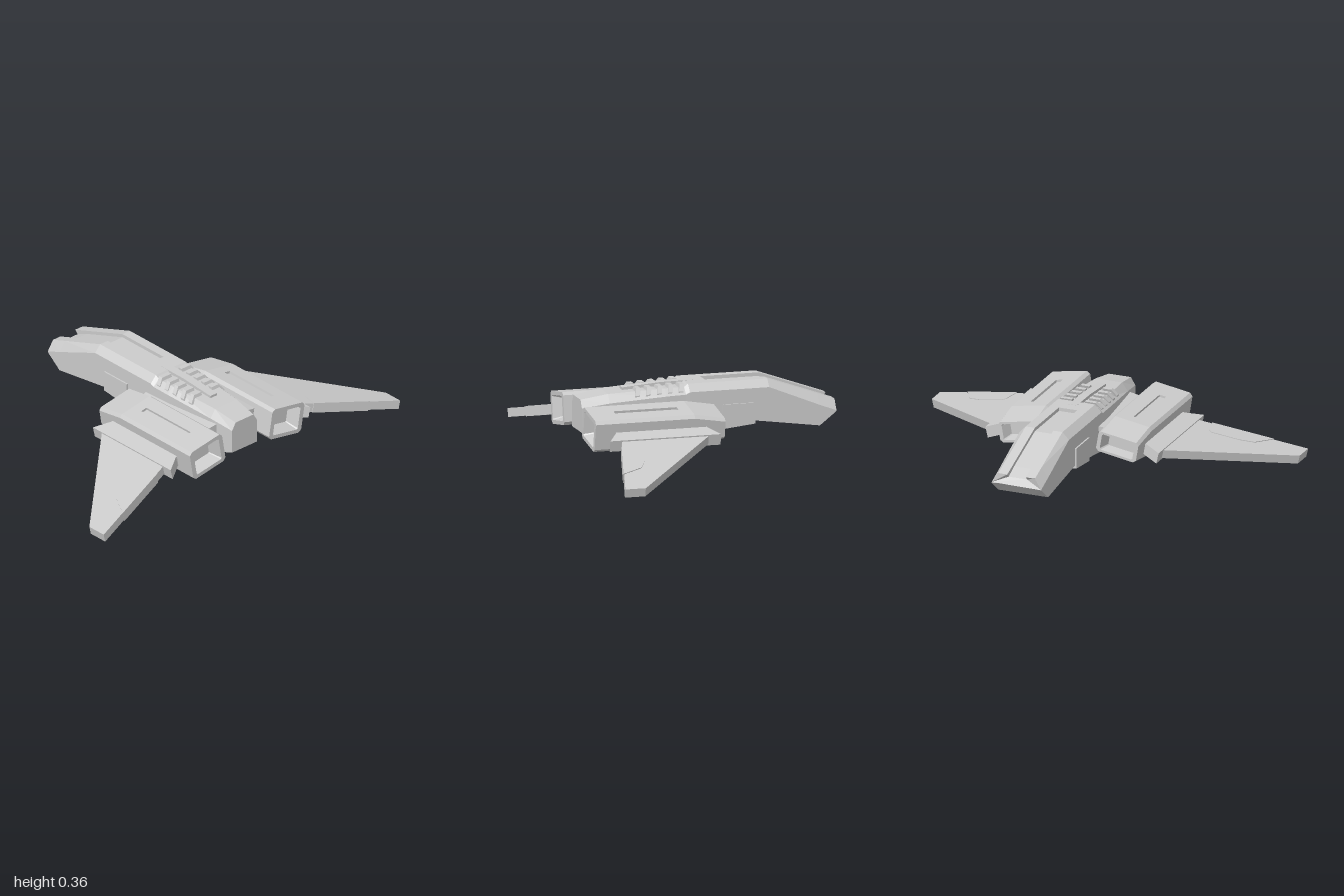
import * as THREE from 'three';

const grey = new THREE.MeshStandardMaterial({ color: 0xcccccc, flatShading: true });

function add(parent, name, geometry) {
  const mesh = new THREE.Mesh(geometry, grey);
  mesh.name = name;
  parent.add(mesh);
  return mesh;
}

// Skin a list of equal-length rings (counter-clockwise seen from +z) and cap both ends
function loft(rings) {
  const pos = [];
  const tri = (...pts) => pts.forEach((p) => pos.push(...p));
  const n = rings[0].length;
  for (let r = 0; r < rings.length - 1; r++) {
    const a = rings[r], b = rings[r + 1];
    for (let i = 0; i < n; i++) {
      const j = (i + 1) % n;
      tri(a[i], a[j], b[j]);
      tri(a[i], b[j], b[i]);
    }
  }
  const cap = (ring, flip) => {
    const flat = ring.map((p) => new THREE.Vector2(p[0], p[1]));
    for (const [a, b, c] of THREE.ShapeUtils.triangulateShape(flat, [])) {
      if (flip) tri(ring[a], ring[c], ring[b]);
      else tri(ring[a], ring[b], ring[c]);
    }
  };
  cap(rings[0], true);
  cap(rings[rings.length - 1], false);
  const g = new THREE.BufferGeometry();
  g.setAttribute('position', new THREE.Float32BufferAttribute(pos, 3));
  g.computeVertexNormals();
  return g;
}

// Flat plate from an outline in x and z, centred on y = 0
function plate(points, thickness) {
  const shape = new THREE.Shape(points.map((p) => new THREE.Vector2(...p)));
  return new THREE.ExtrudeGeometry(shape, { depth: thickness, bevelEnabled: false })
    .translate(0, 0, -thickness / 2)
    .rotateX(Math.PI / 2);
}

// Hull section: half widths w (side) and t (top), heights, depth of top groove, setback of its middle
function hullRing([z, w, t, top, shoulder, bottom, depth, setback = 0]) {
  const g = Math.min(0.05, t * 0.8), zm = z + setback;
  return [
    [w, bottom, z], [w, shoulder, z], [t, top, z], [g, top, z],
    [g, top - depth, zm], [-g, top - depth, zm],
    [-g, top, z], [-t, top, z], [-w, shoulder, z], [-w, bottom, z],
    [-g, bottom, zm], [g, bottom, zm],
  ];
}

// Engine section: chamfered rectangle with an optional slot in its top
function engineRing([z, w, h, c, slot = 0]) {
  const s = 0.018;
  return [
    [w - c, -h, z], [w, -h + c, z], [w, h - c, z], [w - c, h, z],
    [s, h, z], [s, h - slot, z], [-s, h - slot, z], [-s, h, z],
    [-w + c, h, z], [-w, h - c, z], [-w, -h + c, z], [-w + c, -h, z],
  ];
}

export function createModel() {
  const model = new THREE.Group();
  model.name = 'spacecraft';

  // Fuselage with a grooved, forked nose and a tapering tail
  add(model, 'fuselage', loft([
    [-0.687, 0.135, 0.1, 0.235, 0.182, 0.178, 0.018, 0.018],
    [-0.6, 0.135, 0.1, 0.266, 0.215, 0.11, 0.018],
    [-0.335, 0.135, 0.1, 0.36, 0.323, 0.147, 0.018],
    [-0.26, 0.135, 0.1, 0.36, 0.323, 0.157, 0.018],
    [-0.03, 0.135, 0.1, 0.36, 0.323, 0.13, 0.018],
    [-0.03, 0.135, 0.1, 0.36, 0.323, 0.13, 0],
    [0.08, 0.135, 0.1, 0.36, 0.323, 0.115, 0],
    [0.1, 0.134, 0.099, 0.345, 0.312, 0.112, 0],
    [0.2, 0.13, 0.094, 0.342, 0.308, 0.097, 0],
    [0.49, 0.103, 0.072, 0.328, 0.285, 0.097, 0],
    [0.63, 0.084, 0.06, 0.305, 0.265, 0.14, 0],
  ].map(hullRing)));

  // Raised spine between the vents
  add(model, 'spine', loft([[0.03, 0.361, 0.33], [0.2, 0.36, 0.32], [0.4, 0.345, 0.31]]
    .map(([z, top, low]) => [[0.022, low, z], [0.022, top, z], [-0.022, top, z], [-0.022, low, z]])));

  // Box around the belly
  const belly = [[-0.26, 0.143], [-0.09, 0.125]];
  add(model, 'bellyBox', loft(belly.map(([z, low]) =>
    [[0.143, low, z], [0.143, 0.25, z], [-0.143, 0.25, z], [-0.143, low, z]])));

  for (const side of [1, -1]) {
    const half = new THREE.Group();
    half.name = side > 0 ? 'leftSide' : 'rightSide';
    half.scale.x = side;
    model.add(half);

    // Vent fins folded over the shoulder
    for (let i = 0; i < 5; i++) {
      const z = 0.11 + i * 0.056, top = 0.36 - i * 0.0025, out = 0.122 - i * 0.003;
      const profile = [[0.035, 0.31], [out, 0.31], [out, top - 0.033], [out - 0.027, top], [0.035, top]];
      const lean = (y) => (y - top) * 0.35;
      add(half, 'ventFin', loft([z - 0.012, z + 0.012].map((zz) =>
        profile.map(([x, y]) => [x, y, zz - lean(y)]))));
    }

    // Strut joining engine and fuselage
    const strut = add(half, 'engineStrut', plate(
      [[-0.06, 0.03], [0.015, 0.05], [0.06, 0.08], [0.06, 0.49], [0.015, 0.525], [-0.06, 0.53]], 0.055));
    strut.position.set(0.14, 0.232, 0);
    strut.rotation.z = -0.17;

    // Engine box, hollow at both ends, with a long slot on top
    const engine = add(half, 'engine', loft([
      [0.03, 0.07, 0.032, 0.004],
      [-0.03, 0.09, 0.042, 0.006],
      [-0.03, 0.11, 0.054, 0.014],
      [0.13, 0.11, 0.083, 0.016],
      [0.19, 0.11, 0.083, 0.016],
      [0.19, 0.11, 0.083, 0.016, 0.012],
      [0.52, 0.11, 0.083, 0.016, 0.012],
      [0.52, 0.11, 0.083, 0.016],
      [0.65, 0.11, 0.083, 0.016],
      [0.65, 0.085, 0.063, 0.006],
      [0.58, 0.065, 0.045, 0.004],
    ].map(engineRing)));
    engine.position.set(0.267, 0.196, 0);
    engine.rotation.z = -0.17;

    // Drooping wing with its root bracket and trailing flap
    const wing = new THREE.Group();
    wing.name = 'wing';
    wing.position.set(0.38, 0.167, 0);
    wing.rotation.z = -0.23;
    half.add(wing);
    add(wing, 'wingPanel', plate(
      [[0, 0.08], [0.087, 0.085], [0.632, 0.578], [0.632, 0.685], [0.087, 0.54], [0, 0.53]], 0.045));
    add(wing, 'wingBracket', plate(
      [[-0.04, 0.075], [0, 0.065], [0.087, 0.02], [0.087, 0.6], [0, 0.545], [-0.04, 0.54]], 0.058));
    add(wing, 'wingFlap', plate(
      [[0.15, 0.561], [0.17, 0.475], [0.19, 0.46], [0.33, 0.495], [0.4, 0.53], [0.46, 0.643]], 0.052));
  }
  return model;
}
